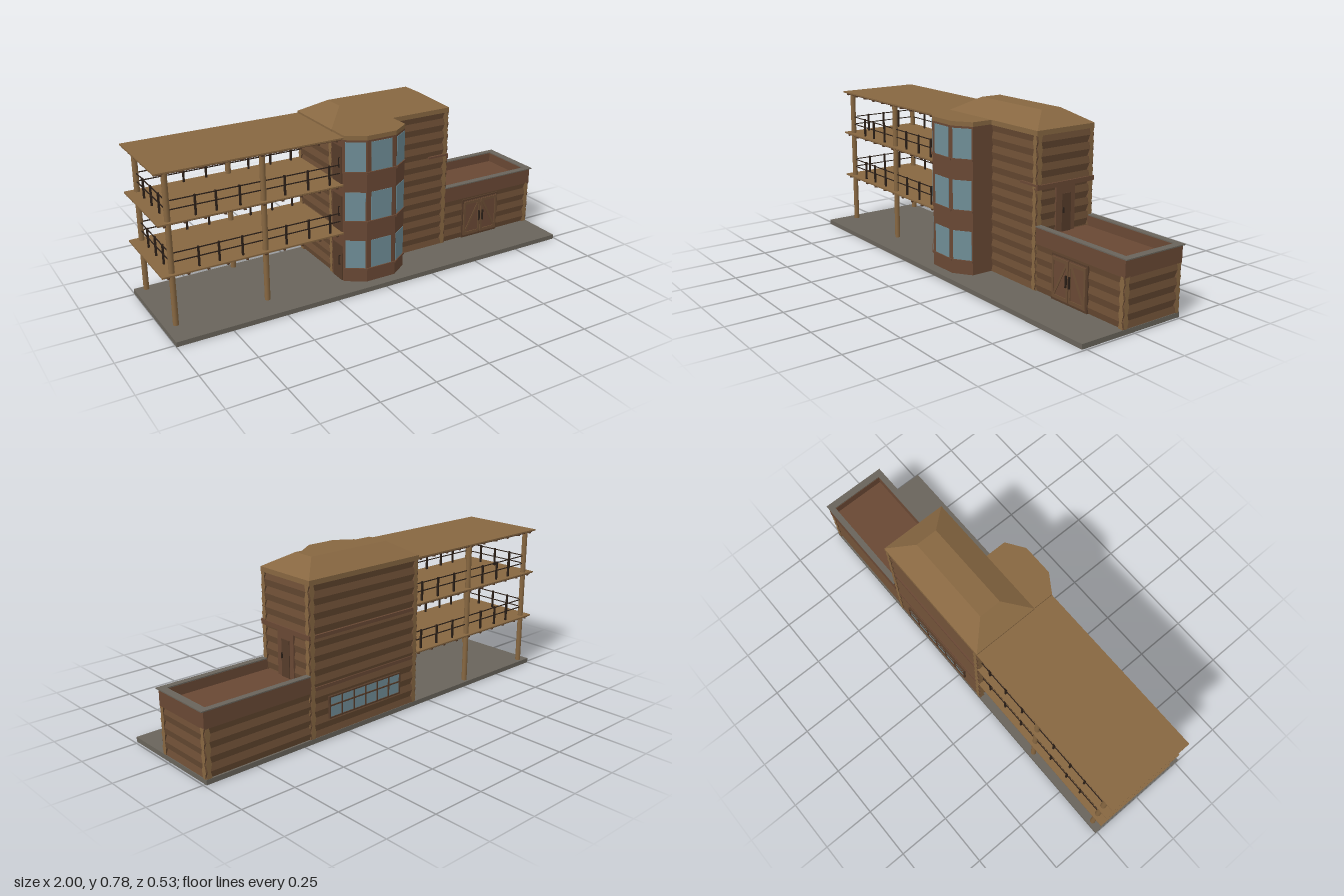
import * as THREE from 'three';

const mat = (name, color) => Object.assign(new THREE.MeshStandardMaterial({ color }), { name });

export function createModel() {
  const M = {
    stone: mat('stone', 0x69645b),
    logs: mat('log brown', 0x6b4d34),
    wall: mat('wall brown', 0x694834),
    light: mat('light timber', 0x876741),
    trim: mat('trim brown', 0x563c2a),
    glass: mat('window glass', 0x6f8d96),
    dark: mat('dark metal', 0x2c2018),
  };
  const root = new THREE.Group();
  root.name = 'timberLodge';

  const add = (parent, name, geo, material) => {
    const m = new THREE.Mesh(geo, material);
    m.name = name;
    parent.add(m);
    return m;
  };
  // Box given by its lower and upper limits on each axis
  const box = (parent, name, material, x0, x1, y0, y1, z0, z1) => {
    const m = add(parent, name, new THREE.BoxGeometry(x1 - x0, y1 - y0, z1 - z0), material);
    m.position.set((x0 + x1) / 2, (y0 + y1) / 2, (z0 + z1) / 2);
    return m;
  };
  const group = (name) => {
    const g = new THREE.Group();
    g.name = name;
    root.add(g);
    return g;
  };

  // Wall of stacked faceted logs with pale cut ends; phase shifts the bulge by half a log
  const T = 0.027;
  const logWall = (parent, name, axis, a, b, y0, y1, at, phase) => {
    const n = Math.round((y1 - y0) / 0.0307);
    const right = [], left = [];
    for (let i = 0; i <= n; i++) {
      const w = (i + phase) % 2 ? T / 2 - 0.007 : T / 2;
      const y = y0 + ((y1 - y0) * i) / n;
      right.push(new THREE.Vector2(w, y));
      left.unshift(new THREE.Vector2(-w, y));
    }
    const geo = new THREE.ExtrudeGeometry(new THREE.Shape([...right, ...left]), { depth: b - a, bevelEnabled: false });
    if (axis === 'x') geo.rotateY(Math.PI / 2).translate(a, 0, at);
    else geo.translate(at, 0, a);
    add(parent, name, geo, [M.light, M.logs]);
  };

  box(root, 'baseSlab', M.stone, -1, 0.99, 0, 0.022, -0.26, 0.265);

  // Main tower
  const tower = group('tower');
  logWall(tower, 'towerFrontWall', 'x', -0.162, 0.468, 0.02, 0.695, 0.055 - T / 2, 0);
  logWall(tower, 'towerBackWall', 'x', -0.162, 0.468, 0.02, 0.695, -0.258 + T / 2, 0);
  logWall(tower, 'towerRightWall', 'z', -0.26, 0.057, 0.02, 0.695, -0.16 + T / 2, 1);
  logWall(tower, 'towerLeftWall', 'z', -0.26, 0.057, 0.02, 0.695, 0.465 - T / 2, 1);
  box(tower, 'towerFascia', M.light, -0.162, 0.467, 0.693, 0.715, -0.26, 0.057);

  // Hipped roof with a flat top
  const hip = new THREE.BoxGeometry(1, 1, 1);
  const p = hip.attributes.position;
  for (let i = 0; i < p.count; i++) {
    const up = p.getY(i) > 0;
    p.setXYZ(i,
      p.getX(i) > 0 ? (up ? 0.365 : 0.467) : (up ? -0.06 : -0.162),
      up ? 0.778 : 0.715,
      p.getZ(i) > 0 ? (up ? -0.05 : 0.057) : (up ? -0.155 : -0.26));
  }
  hip.computeVertexNormals();
  add(tower, 'hippedRoof', hip, M.light);

  // Door and ledge facing the annex roof
  box(tower, 'sideLedge', M.wall, 0.45, 0.472, 0.463, 0.484, -0.26, 0.057);
  box(tower, 'frontLedge', M.wall, 0.36, 0.47, 0.478, 0.487, 0.04, 0.059);
  box(tower, 'roofDoorSurround', M.wall, 0.45, 0.469, 0.26, 0.463, -0.155, -0.05);
  box(tower, 'roofDoor', M.trim, 0.469, 0.473, 0.26, 0.43, -0.13, -0.08);
  box(tower, 'roofDoorHandle', M.dark, 0.473, 0.479, 0.345, 0.37, -0.088, -0.084);

  // Long back window with glazing bars
  box(tower, 'backWindow', M.glass, -0.05, 0.365, 0.095, 0.19, -0.262, -0.255);
  for (let i = 0; i <= 6; i++) {
    const x = -0.05 + (i * 0.415) / 6;
    box(tower, 'backWindowBar', M.trim, x - 0.003, x + 0.003, 0.095, 0.19, -0.266, -0.256);
  }
  for (const y of [0.095, 0.15, 0.19])
    box(tower, 'backWindowRail', M.trim, -0.053, 0.368, y - 0.003, y + 0.003, -0.266, -0.256);
  for (const y of [0.235, 0.463])
    box(tower, 'backBand', M.wall, -0.162, 0.467, y, y + 0.016, -0.2595, -0.25);

  // Angled stair bay
  const bay = group('bay');
  const plan = [[-0.16, 0.04], [-0.16, 0.157], [-0.075, 0.213], [0.073, 0.213], [0.155, 0.157], [0.155, 0.04]];
  const prism = (name, material, y0, y1) => {
    const shape = new THREE.Shape(plan.map(([x, z]) => new THREE.Vector2(x, z)));
    const geo = new THREE.ExtrudeGeometry(shape, { depth: y1 - y0, bevelEnabled: false });
    geo.rotateX(Math.PI / 2).translate(0, y1, 0);
    add(bay, name, geo, material);
  };
  prism('bayWall', M.wall, 0.02, 0.695);
  prism('bayRoof', M.light, 0.695, 0.715);
  for (let i = 1; i < 4; i++) {
    const [x0, z0] = plan[i], [x1, z1] = plan[i + 1];
    const len = Math.hypot(x1 - x0, z1 - z0);
    const facet = new THREE.Group();
    facet.name = 'bayFacet';
    facet.position.set((x0 + x1) / 2, 0, (z0 + z1) / 2);
    facet.rotation.y = Math.atan2(z0 - z1, x1 - x0);
    bay.add(facet);
    const w = i === 2 ? 0.053 : len / 2 - 0.006;
    for (const y of [0.09, 0.321, 0.552]) {
      box(facet, 'bayWindow', M.glass, -w, w, y, y + 0.134, -0.002, 0.002);
      box(facet, 'baySill', M.wall, -len / 2, len / 2, y - 0.01, y - 0.001, -0.004, 0.006);
    }
  }
  // Terrace doors on the side of the bay
  for (const y of [0.022, 0.262, 0.49]) {
    box(bay, 'terraceDoor', M.trim, -0.164, -0.158, y, y + 0.17, 0.065, 0.145);
    box(bay, 'terraceDoorHandle', M.dark, -0.172, -0.169, y + 0.075, y + 0.12, 0.128, 0.132);
    for (const h of [0.075, 0.117])
      box(bay, 'handleMount', M.dark, -0.172, -0.162, y + h, y + h + 0.003, 0.128, 0.132);
  }

  // Low annex with a sunken roof
  const annex = group('annex');
  logWall(annex, 'annexFrontWall', 'x', 0.44, 0.99, 0.02, 0.235, 0.054 - T / 2, 1);
  logWall(annex, 'annexBackWall', 'x', 0.44, 0.99, 0.02, 0.235, -0.258 + T / 2, 1);
  logWall(annex, 'annexSideWall', 'z', -0.259, 0.055, 0.02, 0.235, 0.988 - T / 2, 0);
  box(annex, 'annexRoof', M.wall, 0.46, 0.97, 0.25, 0.262, -0.24, 0.035);
  const rims = [[0.465, 0.99, 0.029, 0.055], [0.465, 0.99, -0.26, -0.234], [0.964, 0.99, -0.234, 0.029]];
  for (const [x0, x1, z0, z1] of rims) box(annex, 'parapet', M.wall, x0, x1, 0.232, 0.306, z0, z1);
  box(annex, 'frontCoping', M.stone, 0.467, 1, 0.306, 0.311, 0.03, 0.06);
  box(annex, 'backCoping', M.stone, 0.467, 1, 0.306, 0.311, -0.264, -0.236);
  box(annex, 'sideCoping', M.stone, 0.966, 1, 0.306, 0.311, -0.236, 0.03);

  // Braced double doors
  const doors = group('doubleDoors');
  doors.position.set(0.68, 0, 0.055);
  box(doors, 'doorFrame', M.trim, -0.108, 0.108, 0.022, 0.224, -0.02, 0.002);
  for (const s of [-1, 1]) {
    const mid = s * 0.052;
    box(doors, 'doorLeaf', M.wall, mid - 0.049, mid + 0.049, 0.032, 0.216, -0.01, 0.004);
    for (const y of [0.036, 0.198])
      box(doors, 'doorRail', M.logs, mid - 0.049, mid + 0.049, y, y + 0.014, 0.003, 0.008);
    for (const e of [-0.044, 0.044])
      box(doors, 'doorStile', M.logs, mid + e - 0.005, mid + e + 0.005, 0.036, 0.212, 0.003, 0.008);
    const brace = add(doors, 'doorBrace', new THREE.BoxGeometry(0.01, 0.165, 0.004), M.logs);
    brace.position.set(mid, 0.124, 0.005);
    brace.rotation.z = s * 0.48;
    box(doors, 'doorHandle', M.dark, s * 0.01 - 0.003, s * 0.01 + 0.003, 0.1, 0.152, 0.008, 0.016);
  }

  // Open terraces: decks on crossed joists
  const terrace = group('terrace');
  for (const y of [0.262, 0.49, 0.706]) {
    box(terrace, 'deck', M.light, -1, -0.155, y - 0.007, y, -0.26, 0.157);
    for (let i = 0; i < 10; i++) {
      const x = -0.97 + i * 0.087;
      box(terrace, 'crossJoist', M.trim, x - 0.005, x + 0.005, y - 0.018, y - 0.006, -0.252, 0.15);
    }
    for (let i = 0; i < 6; i++) {
      const z = -0.24 + i * 0.075;
      box(terrace, 'longJoist', M.trim, -0.995, -0.16, y - 0.016, y - 0.006, z - 0.005, z + 0.005);
    }
  }
  for (const x of [-0.95, -0.53]) for (const z of [-0.235, 0.13]) {
    const post = add(terrace, 'terracePost', new THREE.CylinderGeometry(0.0125, 0.0125, 0.68, 16), M.light);
    post.position.set(x, 0.361, z);
  }

  // Railings along the front, back and end of both upper decks
  for (const y of [0.262, 0.49]) {
    for (const z of [-0.235, 0.13]) {
      for (const x of [-0.83, -0.74, -0.635, -0.43, -0.32, -0.215])
        box(terrace, 'railPost', M.dark, x - 0.004, x + 0.004, y, y + 0.09, z - 0.004, z + 0.004);
      for (const h of [0.046, 0.085])
        box(terrace, 'rail', M.dark, -0.95, -0.16, y + h - 0.002, y + h + 0.002, z - 0.002, z + 0.002);
    }
    for (const z of [-0.145, -0.052, 0.04])
      box(terrace, 'railPost', M.dark, -0.954, -0.946, y, y + 0.09, z - 0.004, z + 0.004);
    for (const h of [0.046, 0.085])
      box(terrace, 'endRail', M.dark, -0.952, -0.948, y + h - 0.002, y + h + 0.002, -0.235, 0.13);
  }
  return root;
}
